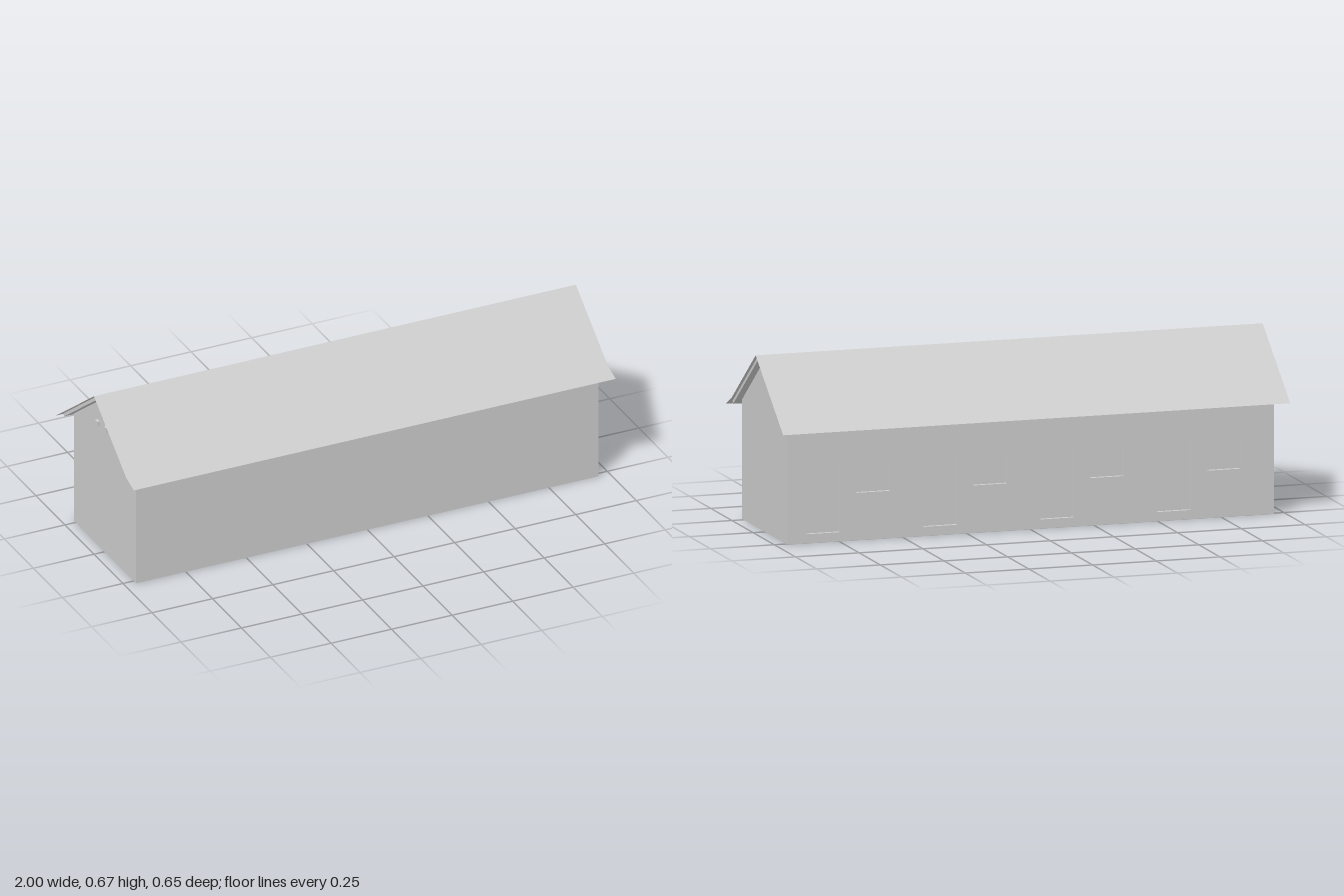
import * as THREE from 'three';

const RIDGE = 0.672, PITCH = 0.75; // ridge height, fall per unit of depth

function shapeOf(points) {
  return new THREE.Shape(points.map(([x, y]) => new THREE.Vector2(x, y)));
}

// Extrudes a [z, y] profile along x, from x0 to x1
function alongX(points, x0, x1) {
  const shape = shapeOf(points.map(([z, y]) => [-z, y]));
  const geo = new THREE.ExtrudeGeometry(shape, { depth: x1 - x0, bevelEnabled: false });
  return geo.rotateY(Math.PI / 2).translate(x0, 0, 0);
}

// Thin roof sheet: outline in [x, distance from ridge], dropped along the pitch
function roofSheet(points, side) {
  const geo = new THREE.ShapeGeometry(shapeOf(points));
  const pos = geo.attributes.position;
  for (let i = 0; i < pos.count; i++) {
    const d = pos.getY(i);
    pos.setXYZ(i, pos.getX(i), RIDGE - PITCH * d, side * d);
  }
  // turn the faces that would otherwise look down
  if (side > 0) geo.setIndex(Array.from(geo.index.array).reverse());
  geo.computeVertexNormals();
  return geo;
}

export function createModel() {
  const group = new THREE.Group();
  const grey = new THREE.MeshStandardMaterial({ color: 0xcccccc, side: THREE.DoubleSide });
  grey.name = 'light grey';
  const add = (name, geo) => {
    const mesh = new THREE.Mesh(geo, grey);
    mesh.name = name;
    group.add(mesh);
  };

  const left = -0.956, right = 0.954, front = 0.27, back = -0.265, recess = 0.016;
  const under = z => 0.655 - PITCH * Math.abs(z);

  // Gabled house body
  const inner = back + recess;
  add('houseBody', alongX(
    [[front, 0], [front, under(front)], [0, 0.655], [inner, under(inner)], [inner, 0]], left, right));

  // Back wall layer, pierced by four doors and four windows
  const wall = shapeOf([[left, 0], [right, 0], [right, 0.46], [left, 0.46]]);
  const opening = (x, y0, y1) => wall.holes.push(new THREE.Path(
    [[x, y0], [x, y1], [x + 0.132, y1], [x + 0.132, y0]].map(p => new THREE.Vector2(...p))));
  for (let i = 0; i < 4; i++) {
    const x = -0.826 + i * 0.459;
    opening(x, 0.18, 0.297);
    opening(x + 0.196, 0.035, 0.298);
  }
  add('backWall', new THREE.ExtrudeGeometry(wall, { depth: recess, bevelEnabled: false })
    .translate(0, 0, back));

  // Roof boards below the sheets
  const top = RIDGE - 0.002;
  add('roofBoards', alongX([
    [0, top], [0.305, top - PITCH * 0.305], [0.296, under(0.296)],
    [0, 0.655], [-0.287, under(0.287)], [-0.296, top - PITCH * 0.296],
  ], -0.985, 0.98));

  // Thin roof sheets; the front one has slightly slanted eave corners
  add('frontRoofSheet', roofSheet(
    [[-1, 0], [0.99, 0], [0.99, 0.28], [1, 0.323], [-0.99, 0.323], [-1, 0.28]], 1));
  add('backRoofSheet', roofSheet([[-1, 0], [0.99, 0], [0.99, 0.325], [-1, 0.325]], -1));

  // Small vents high on one gable
  for (const [y, z] of [[0.535, 0.026], [0.525, -0.05]]) {
    add('gableVent', new THREE.BoxGeometry(0.012, 0.02, 0.02).translate(left - 0.005, y, z));
  }
  return group;
}
